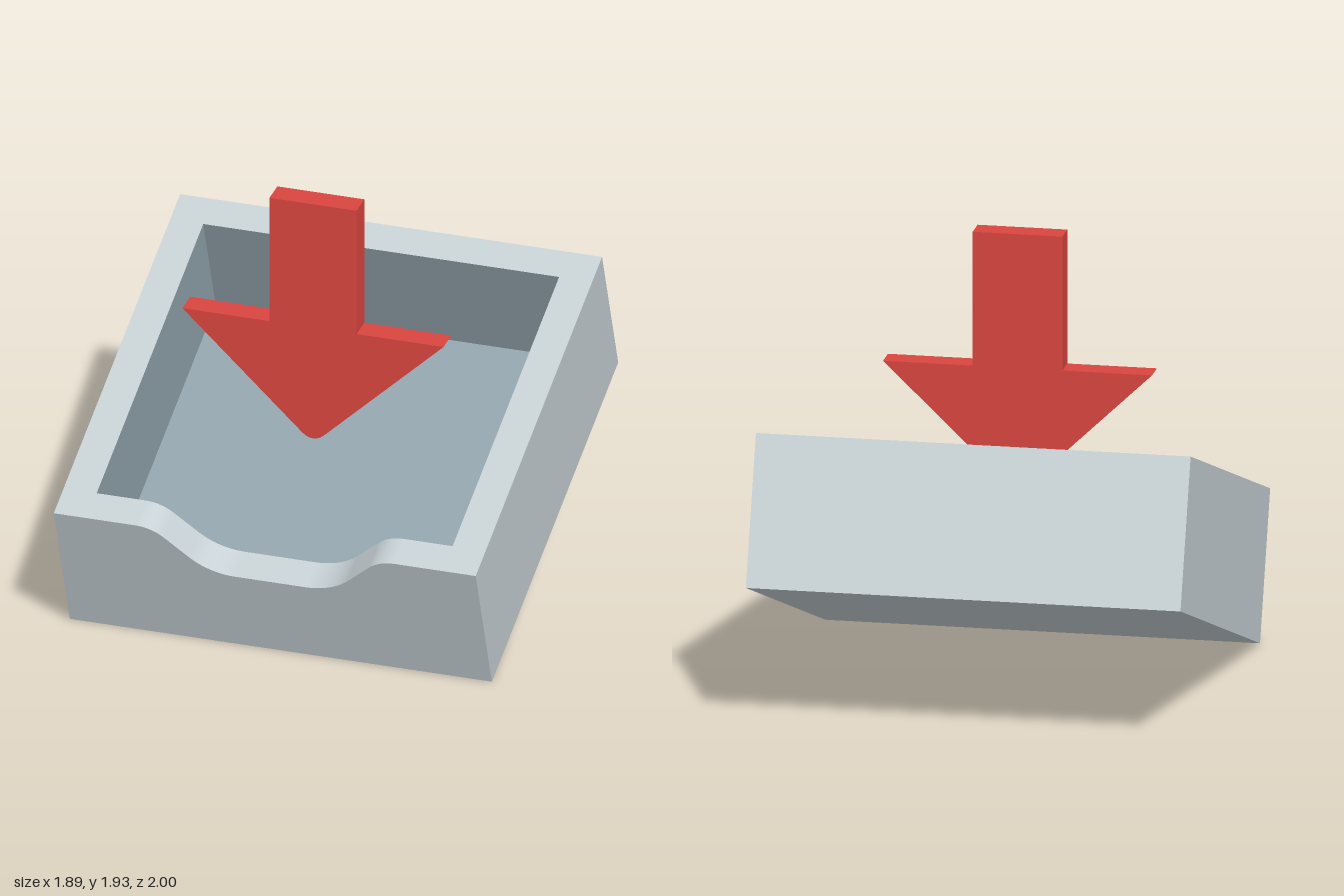
import * as THREE from 'three';

const HALF = 0.945;   // outer half width and depth
const INNER = 0.797;  // inner half width and depth
const TOP = 0.332;    // half height of the tray
const FLOOR = -0.178; // height of the inner floor
const TILT = THREE.MathUtils.degToRad(20);

// Top edge of the front wall with its rounded dip, from -halfWidth to +halfWidth
function dipProfile(halfWidth) {
  const start = 0.58, depth = 0.235, r1 = 0.17, r2 = 0.28, steps = 10;
  const k = Math.SQRT1_2;
  const straight = depth - (r1 + r2) * (1 - k);
  const flat = start - (r1 + r2) * k - straight;
  const half = [new THREE.Vector2(-halfWidth, TOP)];
  for (let i = 0; i <= steps; i++) {
    const a = (i / steps) * Math.PI / 4;
    half.push(new THREE.Vector2(-start + r1 * Math.sin(a), TOP - r1 * (1 - Math.cos(a))));
  }
  for (let i = steps; i >= 0; i--) {
    const a = (i / steps) * Math.PI / 4;
    half.push(new THREE.Vector2(-flat - r2 * Math.sin(a), TOP - depth + r2 * (1 - Math.cos(a))));
  }
  return [...half, ...half.slice().reverse().map(p => new THREE.Vector2(-p.x, p.y))];
}

// Upright wall face below the dip profile
function dipFace(halfWidth, bottom) {
  return new THREE.ShapeGeometry(new THREE.Shape([
    new THREE.Vector2(-halfWidth, bottom), new THREE.Vector2(halfWidth, bottom),
    ...dipProfile(halfWidth).reverse(),
  ]));
}

// Curved top surface of the front wall
function dipRim() {
  const positions = [], index = [];
  dipProfile(HALF).forEach((p, i) => {
    positions.push(p.x, p.y, INNER, p.x, p.y, HALF);
    const a = 2 * i;
    if (i > 0) index.push(a - 2, a - 1, a, a, a - 1, a + 1);
  });
  const g = new THREE.BufferGeometry();
  g.setAttribute('position', new THREE.Float32BufferAttribute(positions, 3));
  g.setIndex(index);
  g.computeVertexNormals();
  return g;
}

// Flat U-shaped rim on the left, back and right walls
function flatRim() {
  const pts = [[-HALF, -INNER], [-INNER, -INNER], [-INNER, INNER], [INNER, INNER],
    [INNER, -INNER], [HALF, -INNER], [HALF, HALF], [-HALF, HALF]];
  const g = new THREE.ShapeGeometry(new THREE.Shape(pts.map(p => new THREE.Vector2(...p))));
  return g.rotateX(-Math.PI / 2).translate(0, TOP, 0);
}

export function createModel() {
  const shell = new THREE.MeshStandardMaterial({ name: 'lightGrey', color: 0xc5cfd3 });
  const lining = new THREE.MeshStandardMaterial({ name: 'slateGrey', color: 0x90a2ab });
  const red = new THREE.MeshStandardMaterial({ name: 'red', color: 0xd9453f });

  const model = new THREE.Group();
  model.name = 'trayWithArrow';
  const tray = new THREE.Group();
  tray.name = 'tray';
  tray.position.y = 0.635;
  tray.rotation.x = TILT;
  model.add(tray);

  const add = (parent, name, geometry, material) => {
    const mesh = new THREE.Mesh(geometry, material);
    mesh.name = name;
    parent.add(mesh);
    return mesh;
  };
  const Q = Math.PI / 2;

  // Outer shell
  const height = 2 * TOP;
  for (const [name, turn] of [['rightSide', -Q], ['leftSide', Q], ['backSide', 2 * Q]]) {
    add(tray, name, new THREE.PlaneGeometry(2 * HALF, height).translate(0, 0, HALF).rotateY(turn), shell);
  }
  add(tray, 'underside', new THREE.PlaneGeometry(2 * HALF, 2 * HALF).rotateX(Q).translate(0, -TOP, 0), shell);
  add(tray, 'frontSide', dipFace(HALF, -TOP).translate(0, 0, HALF), shell);
  add(tray, 'frontRim', dipRim(), shell);
  add(tray, 'rim', flatRim(), shell);

  // Inner lining
  const depth = TOP - FLOOR;
  for (const [name, turn] of [['innerLeft', -Q], ['innerRight', Q], ['innerBack', 0]]) {
    add(tray, name, new THREE.PlaneGeometry(2 * INNER, depth)
      .translate(0, FLOOR + depth / 2, -INNER).rotateY(turn), lining);
  }
  add(tray, 'innerFront', dipFace(INNER, FLOOR).rotateY(Math.PI).translate(0, 0, INNER), lining);
  add(tray, 'floor', new THREE.PlaneGeometry(2 * INNER, 2 * INNER).rotateX(-Q).translate(0, FLOOR, 0), lining);

  // Downward arrow with a rounded tip
  const arrow = new THREE.Shape();
  arrow.moveTo(-0.195, 1.925);
  arrow.lineTo(-0.195, 1.33);
  arrow.lineTo(-0.585, 1.33);
  arrow.lineTo(-0.052, 0.82);
  arrow.quadraticCurveTo(0, 0.77, 0.052, 0.82);
  arrow.lineTo(0.585, 1.33);
  arrow.lineTo(0.195, 1.33);
  arrow.lineTo(0.195, 1.925);
  arrow.closePath();
  add(model, 'arrow', new THREE.ExtrudeGeometry(arrow, { depth: 0.11, bevelEnabled: false, curveSegments: 12 })
    .translate(0, 0, 0.213), red);

  return model;
}
